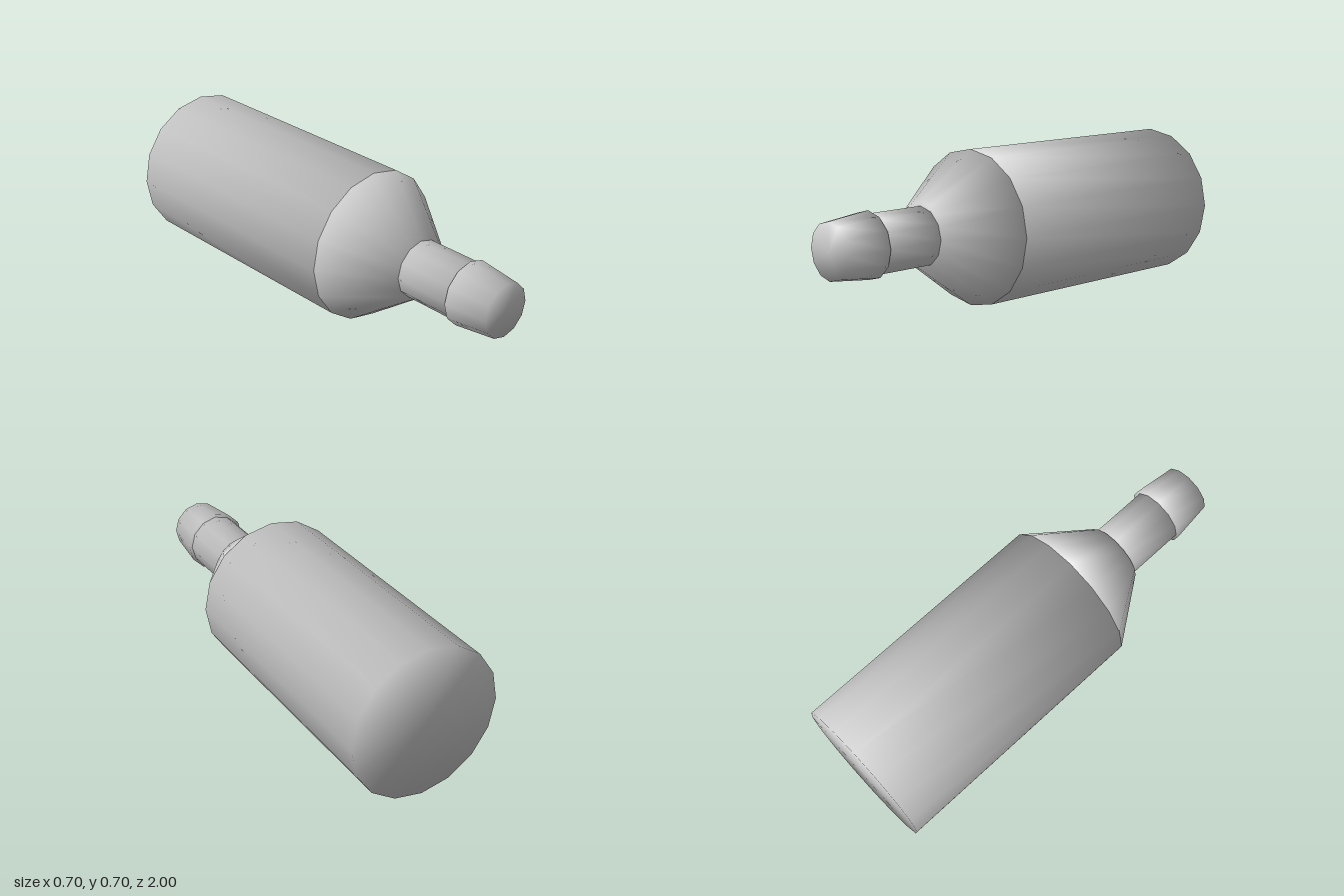
import * as THREE from 'three';

const material = new THREE.MeshStandardMaterial({ color: 0xcccccc });

// Closed frustum along z; rim normals are averaged between side wall and cap for soft shading
function frustum(name, backRadius, frontRadius, zBack, zFront, sides) {
  const length = zFront - zBack;
  const geometry = new THREE.CylinderGeometry(frontRadius, backRadius, length, sides);
  const position = geometry.attributes.position;
  const normal = geometry.attributes.normal;
  const slope = (backRadius - frontRadius) / length;
  const n = new THREE.Vector3();
  const cap = new THREE.Vector3();
  for (let i = 0; i < position.count; i++) {
    cap.set(0, Math.sign(position.getY(i)), 0);
    n.set(position.getX(i), 0, position.getZ(i));
    if (n.length() > 1e-6) {
      n.normalize().setY(slope).normalize().add(cap).normalize();
    } else {
      n.copy(cap);
    }
    normal.setXYZ(i, n.x, n.y, n.z);
  }
  geometry.rotateX(Math.PI / 2);
  geometry.translate(0, 0.35, (zBack + zFront) / 2);
  const mesh = new THREE.Mesh(geometry, material);
  mesh.name = name;
  return mesh;
}

export function createModel() {
  const group = new THREE.Group();
  group.name = 'nozzleFitting';
  group.add(
    frustum('body', 0.35, 0.35, -1, 0.23, 16),
    frustum('shoulder', 0.35, 0.146, 0.23, 0.52, 16),
    frustum('neck', 0.132, 0.132, 0.52, 0.8, 12),
    frustum('tip', 0.146, 0.123, 0.8, 1, 12)
  );
  return group;
}
